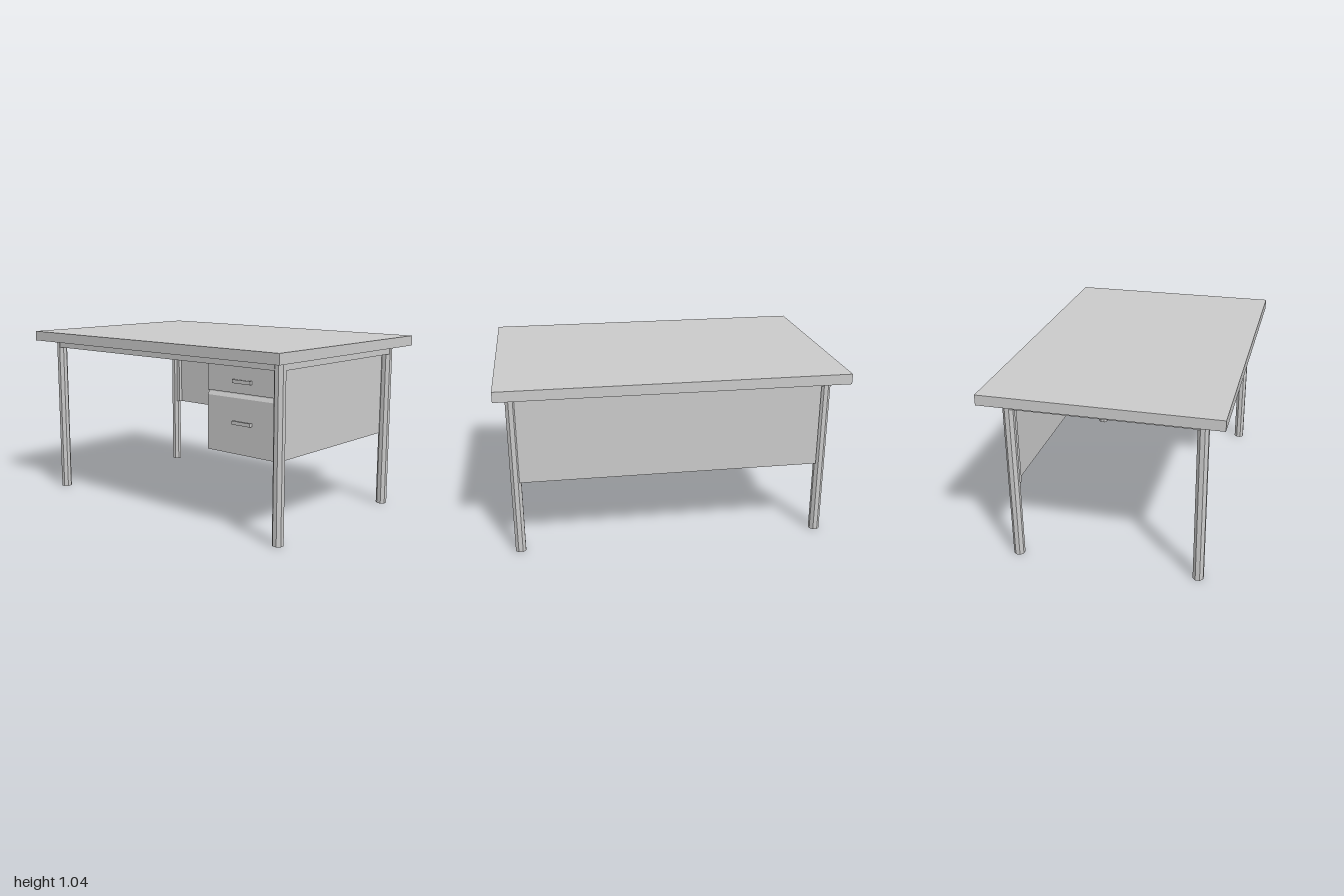
import * as THREE from 'three';

const material = new THREE.MeshStandardMaterial({ color: 0xcccccc, flatShading: true });

export function createModel() {
  const desk = new THREE.Group();
  desk.name = 'desk';

  const add = (name, geometry, parent = desk) => {
    const mesh = new THREE.Mesh(geometry, material);
    mesh.name = name;
    parent.add(mesh);
    return mesh;
  };
  // Box given by its extents on each axis
  const box = (name, [x0, x1], [y0, y1], [z0, z1], parent) => {
    const mesh = add(name, new THREE.BoxGeometry(x1 - x0, y1 - y0, z1 - z0), parent);
    mesh.position.set((x0 + x1) / 2, (y0 + y1) / 2, (z0 + z1) / 2);
    return mesh;
  };

  box('tabletop', [-1, 1], [0.985, 1.045], [-0.667, 0.667]);

  // Eight-sided legs, flats facing the axes
  const half = 0.03, legHeight = 0.985;
  const legX = { right: -0.893, left: 0.91 };
  const legZ = { front: 0.54, back: -0.525 };
  const radius = half / Math.cos(Math.PI / 8);
  const legGeometry = new THREE.CylinderGeometry(radius, radius, legHeight, 8).rotateY(Math.PI / 8);
  for (const [side, x] of Object.entries(legX))
    for (const [end, z] of Object.entries(legZ))
      add(`${end}Leg ${side}`, legGeometry).position.set(x, legHeight / 2, z);

  // Rails under the top, almost flush with the outside of the legs
  const railY = [0.94, 0.985], rail = 0.045, out = half - 0.002;
  const xMin = legX.right - out, xMax = legX.left + out;
  const zMin = legZ.back - out, zMax = legZ.front + out;
  const railX = [legX.right, legX.left], railZ = [legZ.back, legZ.front];
  box('frontRail', railX, railY, [zMax - rail, zMax]);
  box('backRail', railX, railY, [zMin, zMin + rail]);
  box('rightRail', [xMin, xMin + rail], railY, railZ);
  box('leftRail', [xMax - rail, xMax], railY, railZ);

  // Modesty panel with a folded edge at its free end
  box('backPanel', [-0.865, 0.89], [0.45, 0.94], [zMin + 0.001, zMin + 0.025]);
  box('backPanelFlange', [-0.865, -0.84], [0.45, 0.94], [zMin + 0.025, zMin + 0.05]);

  // Drawer cabinet: side profile (z, y) with a sloped finger groove, run along x
  const cabinet = new THREE.Group();
  cabinet.name = 'drawerCabinet';
  desk.add(cabinet);
  const front = 0.52, back = -0.505, bottom = 0.447;
  const profile = new THREE.Shape([
    [back, bottom], [front, bottom], [front, 0.76], [front - 0.012, 0.78],
    [front - 0.012, 0.787], [front, 0.787], [front, 0.983], [back, 0.983],
  ].map(([z, y]) => new THREE.Vector2(z, y)));
  const body = add('cabinetBody',
    new THREE.ExtrudeGeometry(profile, { depth: 0.5, bevelEnabled: false }).rotateY(-Math.PI / 2), cabinet);
  body.position.x = 0.89;

  // Drawer pulls: a bar on two short posts
  for (const [name, y] of [['upperPull', 0.853], ['lowerPull', 0.624]]) {
    const pull = new THREE.Group();
    pull.name = name;
    pull.position.set(0.645, y, front);
    cabinet.add(pull);
    box('pullBar', [-0.064, 0.064], [-0.01, 0.01], [0.01, 0.018], pull);
    for (const s of [-1, 1])
      box('pullPost', [s * 0.06 - 0.004, s * 0.06 + 0.004], [-0.01, 0.01], [0, 0.01], pull);
  }

  return desk;
}
